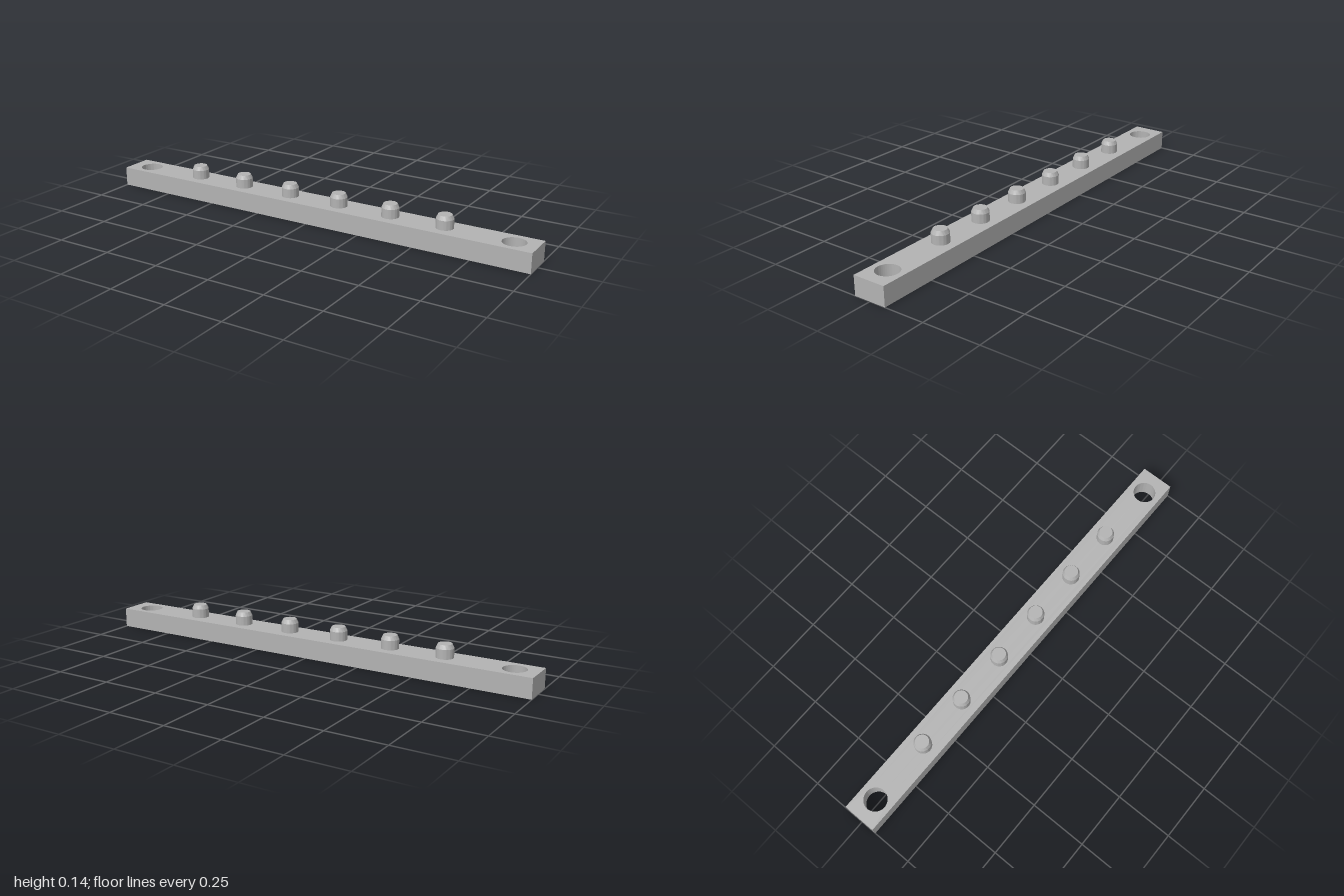
import * as THREE from 'three';
import { toCreasedNormals } from 'three/addons/utils/BufferGeometryUtils.js';

const BAR_HEIGHT = 0.085;
const HALF_DEPTH = 0.073;
const PEG_SPACING = 0.244;
const CREASE = 0.35;

export function createModel() {
  const group = new THREE.Group();
  const grey = new THREE.MeshStandardMaterial({ color: 0xb3b3b3 });
  grey.name = 'grey';

  // Rectangular bar with a round through-hole near each end
  const outline = new THREE.Shape([
    new THREE.Vector2(-1, -HALF_DEPTH),
    new THREE.Vector2(1, -HALF_DEPTH),
    new THREE.Vector2(1, HALF_DEPTH),
    new THREE.Vector2(-1, HALF_DEPTH),
  ]);
  for (const x of [-0.902, 0.902]) {
    outline.holes.push(new THREE.Path().absarc(x, 0, 0.049, 0, Math.PI * 2, true));
  }
  const barGeometry = new THREE.ExtrudeGeometry(outline, {
    depth: BAR_HEIGHT, bevelEnabled: false, curveSegments: 40,
  });
  barGeometry.rotateX(-Math.PI / 2);
  const bar = new THREE.Mesh(toCreasedNormals(barGeometry, CREASE), grey);
  bar.name = 'bar';
  group.add(bar);

  // Row of six pegs with chamfered tops
  const profile = [[0.037, 0], [0.037, 0.04], [0.029, 0.057], [0, 0.057]]
    .map(([r, y]) => new THREE.Vector2(r, y));
  const pegGeometry = toCreasedNormals(new THREE.LatheGeometry(profile, 40), CREASE);
  for (let i = 0; i < 6; i++) {
    const peg = new THREE.Mesh(pegGeometry, grey);
    peg.name = `peg${i + 1}`;
    peg.position.set((i - 2.5) * PEG_SPACING, BAR_HEIGHT, 0);
    group.add(peg);
  }

  return group;
}
